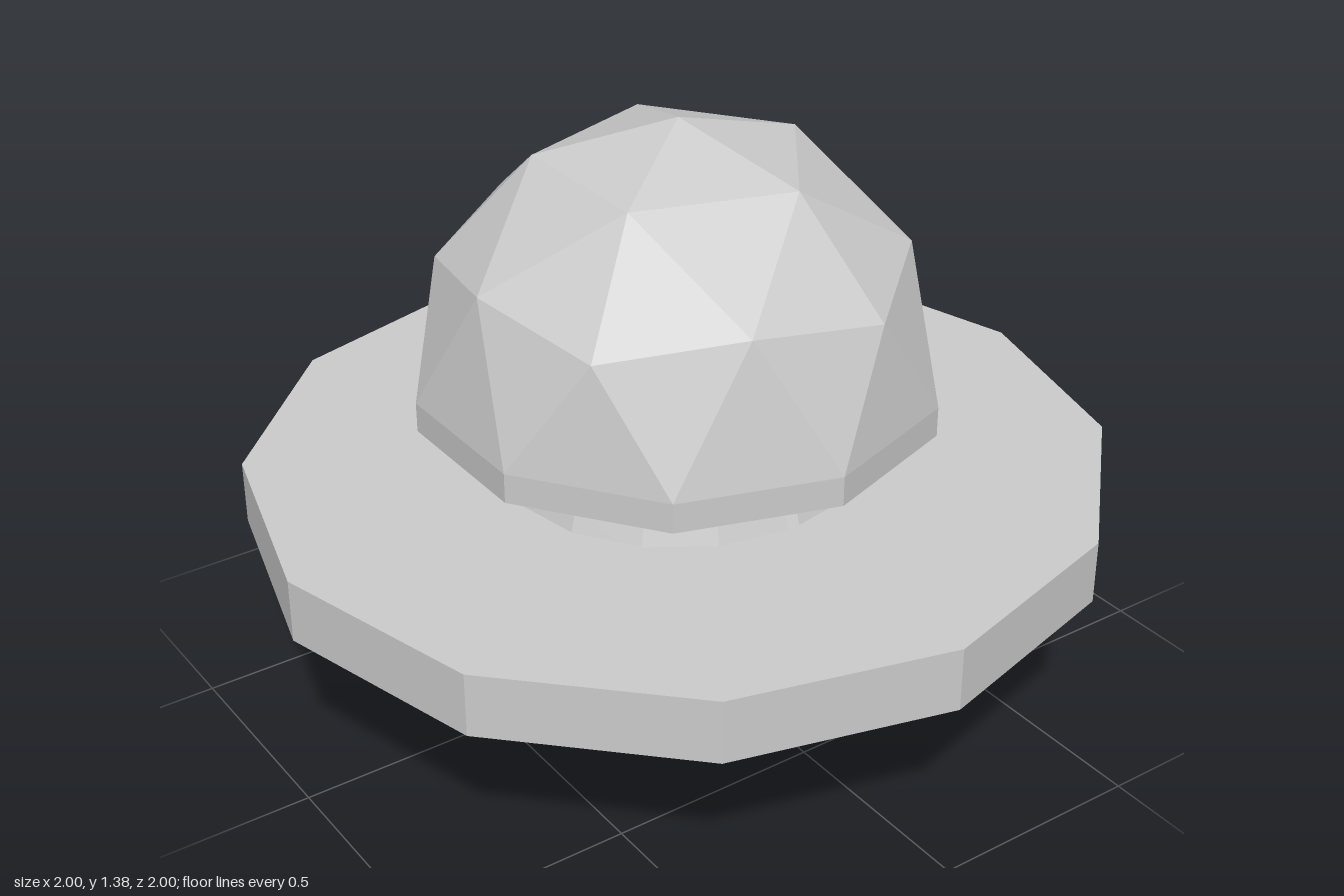
import * as THREE from 'three';
import { ConvexGeometry } from 'three/addons/geometries/ConvexGeometry.js';

const solid = new THREE.MeshStandardMaterial({ color: 0xcccccc, flatShading: true });
const shell = new THREE.MeshStandardMaterial({ color: 0xcccccc, flatShading: true, side: THREE.DoubleSide });

// Evenly spaced points on a horizontal circle; start angle in degrees from +x
function ring(count, radius, y, startDeg) {
  return Array.from({ length: count }, (_, i) => {
    const a = THREE.MathUtils.degToRad(startDeg) + (i / count) * Math.PI * 2;
    return new THREE.Vector3(radius * Math.cos(a), y, radius * Math.sin(a));
  });
}

// Faceted half icosphere with a short straight band under its equator
function makeDome() {
  const R = 0.605, equator = 0.78, bottom = 0.71;
  const latitude = (polarDeg, count, startDeg) => {
    const p = THREE.MathUtils.degToRad(polarDeg);
    return ring(count, R * Math.sin(p), equator + R * Math.cos(p), startDeg);
  };
  const points = [
    new THREE.Vector3(0, equator + R, 0),
    ...latitude(31.717, 5, 0),
    ...latitude(63.435, 5, 0),
    ...latitude(58.283, 5, 36),
    ...latitude(90, 10, 18),
    ...ring(10, R, bottom, 18),
  ];
  const dome = new THREE.Mesh(new ConvexGeometry(points), solid);
  dome.name = 'dome';
  return dome;
}

// Ball split into four quarter shells that spread apart towards the bottom
function makeBall() {
  const ball = new THREE.Group();
  ball.name = 'splitBall';
  const R = 0.44;
  const geometry = new THREE.SphereGeometry(R, 4, 16, Math.PI / 2, Math.PI / 2);
  const tiltAxis = new THREE.Vector3(-1, 0, 1).normalize();
  for (let i = 0; i < 4; i++) {
    const quarter = new THREE.Mesh(geometry, shell);
    quarter.name = 'ballQuarter';
    quarter.quaternion.setFromAxisAngle(tiltAxis, 0.047);
    quarter.position.set(0.0205, R, 0.0205);
    const pivot = new THREE.Group();
    pivot.name = 'ballQuarterPivot';
    pivot.rotation.y = (i * Math.PI) / 2;
    pivot.add(quarter);
    ball.add(pivot);
  }
  return ball;
}

export function createModel() {
  const model = new THREE.Group();
  model.name = 'domedSaucer';

  // Flat twelve-sided disc around the ball
  const disc = new THREE.Mesh(new THREE.CylinderGeometry(1, 1, 0.15, 12), solid);
  disc.name = 'disc';
  disc.position.y = 0.497;

  model.add(disc, makeBall(), makeDome());
  return model;
}
